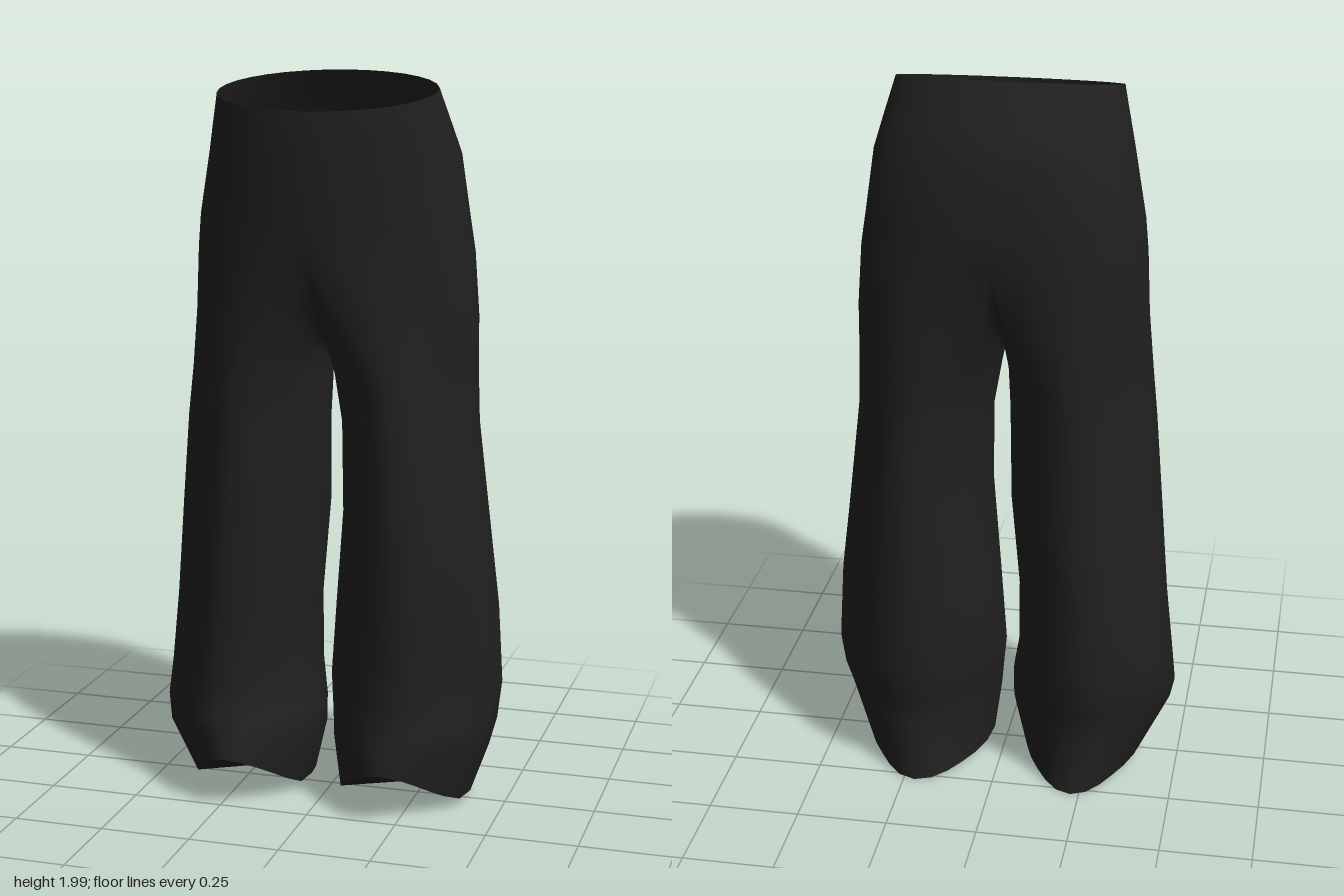
import * as THREE from 'three';
import { mergeVertices } from 'three/addons/utils/BufferGeometryUtils.js';

// Rings from waist to hem: height, left and right outer x, front z, back z,
// then left and right inner x once the legs part
const RINGS = [
  [1.955, 0.30, -0.30, 0.245, -0.145],
  [1.87, 0.325, -0.32, 0.25, -0.21],
  [1.79, 0.345, -0.338, 0.25, -0.245],
  [1.62, 0.37, -0.368, 0.246, -0.252],
  [1.53, 0.384, -0.377, 0.238, -0.252],
  [1.36, 0.40, -0.385, 0.235, -0.25, 0.004, -0.004],
  [1.2, 0.404, -0.40, 0.23, -0.25, 0.01, -0.006],
  [1.07, 0.41, -0.412, 0.237, -0.24, 0.034, -0.01],
  [0.82, 0.437, -0.434, 0.245, -0.27, 0.035, -0.015],
  [0.55, 0.47, -0.456, 0.235, -0.273, 0.012, -0.04],
  [0.35, 0.481, -0.479, 0.23, -0.282, -0.004, -0.04],
  [0.25, 0.473, -0.486, 0.253, -0.262, 0.008, -0.022],
  [0.18, 0.456, -0.472, 0.272, -0.245, 0.016, -0.018],
  [0.03, 0.402, -0.392, 0.285, -0.275, 0.036, -0.06],
];
const CROTCH = 4, HEM = RINGS.length - 1;
const OUTER = 16, INNER = 8, COLS = OUTER + INNER;
const { lerp, clamp, degToRad } = THREE.MathUtils;
const power = (v, p) => Math.sign(v) * Math.abs(v) ** p;

// One point of the cloth; column 0 is the back inner edge, OUTER the front one
function clothPoint(i, column, side) {
  const j = column % COLS;
  const [height, leftOut, rightOut, front, back, leftIn = 0, rightIn = 0] = RINGS[i];
  const xOut = side > 0 ? leftOut : rightOut;
  const xIn = side > 0 ? leftIn : rightIn;
  const blend = clamp((RINGS[CROTCH][0] - height) / 0.33, 0, 1); // hips 0, leg 1
  const a = degToRad(-120 + j * 15), c = Math.cos(a), s = Math.sin(a);
  const zc = (front + back) / 2, rz = (front - back) / 2;

  // leg section with flattened corners, most of all at the outer front
  const flat = c < 0 ? 0.09 : s > 0 ? 0.18 : 0.11;
  const k = 1 - flat * Math.sin(2 * a) ** 2;
  const legX = (xOut + xIn) / 2 + (xOut - xIn) / 2 * c * k;
  const legZ = zc + rz * s * k;

  // half of the hip section, fuller at the back, closed along the centre plane
  const h = a * 0.75, p = i < 2 ? 1 : s > 0 ? 1.06 : 0.82;
  const inner = Math.max(0, (j - OUTER) / INNER);
  const hipX = j === 0 || j >= OUTER ? 0 : xOut * power(Math.cos(h), p);
  const hipZ = inner > 0 ? lerp(front, back, inner) : zc + rz * power(Math.sin(h), p);

  // waist dips in front, crotch sags between the legs, hem arches over the instep
  const waistDip = 0.36 * Math.max(0, height - 1.83) * Math.sin(h);
  const crotchSag = 0.25 * (1 - blend) * Math.sin(Math.PI * inner);
  const arch = s > 0 ? 0.175 * Math.max(0, s * k - 0.3) : 0.024 * s;
  const hemLift = clamp((0.25 - height) / 0.22, 0, 1) * arch;
  const y = height - waistDip - crotchSag + hemLift;
  return [lerp(hipX, legX, blend), y, lerp(hipZ, legZ, blend)];
}

// Adds a triangle, reversed on the mirrored side
function addFace(out, side, a, b, c) {
  out.push(...a, ...(side > 0 ? [...b, ...c] : [...c, ...b]));
}

function smoothGeometry(points) {
  const raw = new THREE.BufferGeometry();
  raw.setAttribute('position', new THREE.Float32BufferAttribute(points, 3));
  const geometry = mergeVertices(raw, 1e-4);
  geometry.computeVertexNormals();
  return geometry;
}

export function createModel() {
  const group = new THREE.Group();
  group.name = 'trousers';
  const cloth = new THREE.MeshStandardMaterial({ color: 0x202020, side: THREE.DoubleSide });
  cloth.name = 'black cloth';

  // Hips and both legs as one continuous cloth
  const faces = [];
  for (const side of [1, -1]) {
    for (let i = 0; i < HEM; i++) {
      const columns = i < CROTCH ? OUTER : COLS;
      for (let j = 0; j < columns; j++) {
        const a = clothPoint(i, j, side), b = clothPoint(i + 1, j, side);
        const c = clothPoint(i, j + 1, side), d = clothPoint(i + 1, j + 1, side);
        addFace(faces, side, a, c, b);
        addFace(faces, side, c, d, b);
      }
    }
  }
  const body = new THREE.Mesh(smoothGeometry(faces), cloth);
  body.name = 'hipsAndLegs';
  group.add(body);

  // Closed undersides of the legs
  for (const side of [1, -1]) {
    const cap = [];
    const centre = [side > 0 ? 0.215 : -0.225, 0.045, 0.03];
    for (let j = 0; j < COLS; j++) {
      addFace(cap, side, centre, clothPoint(HEM, j, side), clothPoint(HEM, j + 1, side));
    }
    const underside = new THREE.Mesh(smoothGeometry(cap), cloth);
    underside.name = side > 0 ? 'leftLegUnderside' : 'rightLegUnderside';
    group.add(underside);
  }
  return group;
}
